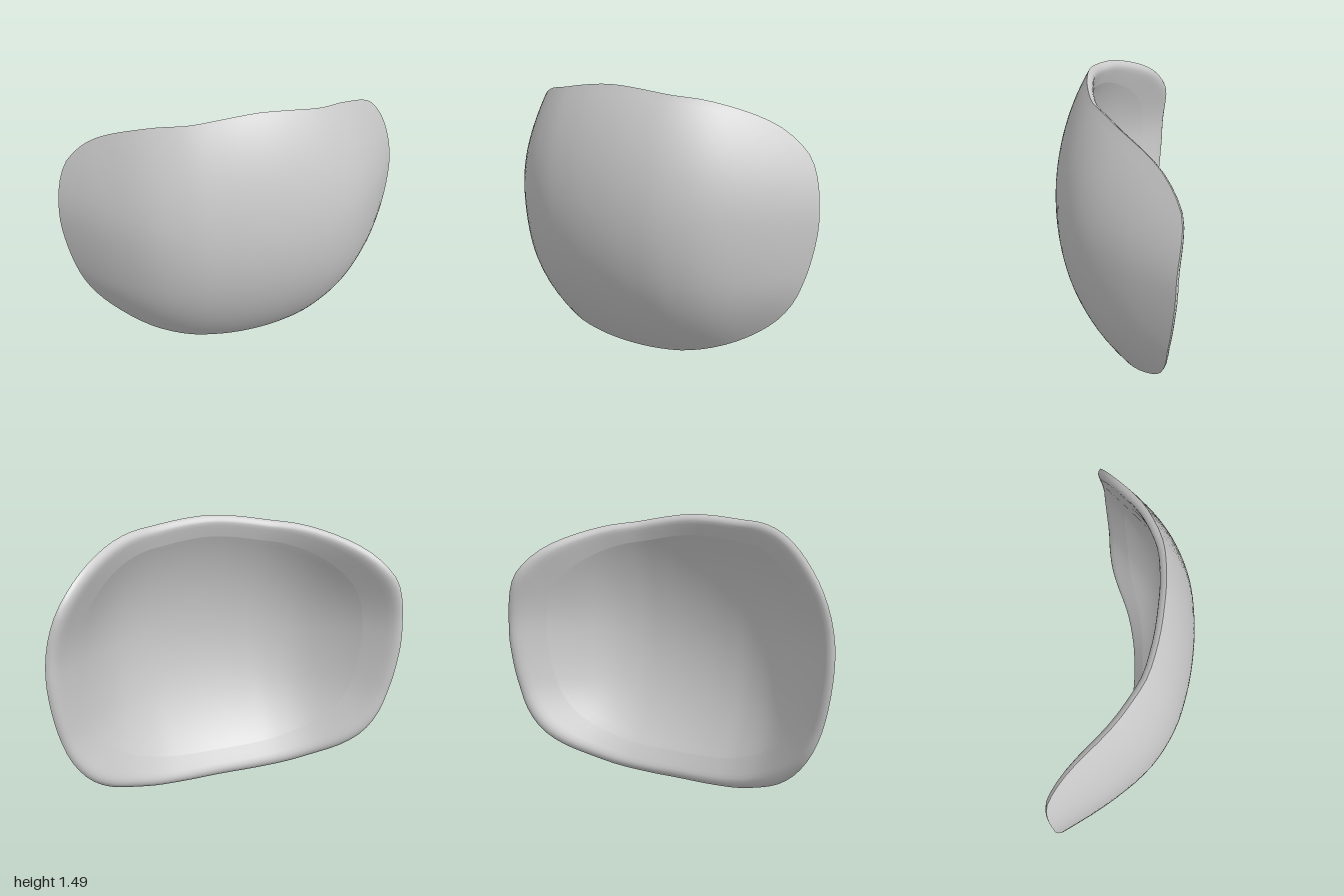
import * as THREE from 'three';

const SEGMENTS = 96;
const CENTRE_Y = 0.82;

// Bulge along the vertical centre line: two arcs meeting at the fullest point
function bulge(y) {
  const d = y - CENTRE_Y, radius = d > 0 ? 1.337 : 1.24;
  return 0.31 - radius + Math.sqrt(radius * radius - d * d);
}

// How far the sheet sweeps back sideways, sampled every 0.2 and joined smoothly
const SWEEP = [0, 0.013, 0.057, 0.16, 0.35, 0.602, 0.86];
function sweep(x) {
  const u = Math.abs(x) / 0.2, i = Math.min(Math.floor(u), 5), t = u - i;
  const at = (k) => SWEEP[Math.min(Math.abs(k), 6)];
  const p0 = at(i), p1 = at(i + 1);
  const m0 = (p1 - at(i - 1)) / 2, m1 = (at(i + 2) - p0) / 2;
  const curve = 2 * (p0 - p1) + m0 + m1;
  return ((curve * t + p1 - p0 - m0 - curve) * t + m0) * t + p0;
}

// Front surface; the sweep grows towards the top and bottom edges
function depth(x, y) {
  const high = Math.max(0, y - CENTRE_Y), low = Math.max(0, 0.5 - y);
  return bulge(y) - sweep(x) * (1 + 1.35 * high * high + 1.7 * low * low);
}

// Half outline, top to bottom, mirrored into a closed curve
const half = [[0, 1.49], [0.15, 1.48], [0.35, 1.452], [0.48, 1.435], [0.6, 1.4], [0.71, 1.35],
  [0.8, 1.29], [0.88, 1.21], [0.935, 1.13], [0.98, 1], [1, 0.82], [0.985, 0.65], [0.95, 0.49],
  [0.9, 0.36], [0.82, 0.245], [0.72, 0.16], [0.6, 0.095], [0.4, 0.03], [0.2, 0.005], [0, 0]];
const mirrored = half.slice(1, -1).reverse().map(([x, y]) => [-x, y]);
const outline = new THREE.CatmullRomCurve3(
  [...half, ...mirrored].map(([x, y]) => new THREE.Vector3(x, y, 0)), true
).getSpacedPoints(SEGMENTS).slice(0, SEGMENTS);

// A point on the curved sheet, pushed back along the surface normal
function sheetPoint(x, y, offset) {
  const e = 0.01;
  const normal = new THREE.Vector3(
    (depth(x - e, y) - depth(x + e, y)) / (2 * e),
    (depth(x, y - e) - depth(x, y + e)) / (2 * e), 1).normalize();
  return new THREE.Vector3(x, y, depth(x, y)).addScaledVector(normal, -offset);
}

// Surface through concentric rings, each given as [outline scale, offset]
function ringSurface(name, rings, material) {
  const positions = [], index = [];
  rings.forEach(([scale, offset], i) => {
    outline.forEach((p, j) => {
      const y = CENTRE_Y + (p.y - CENTRE_Y) * scale;
      positions.push(...sheetPoint(p.x * scale, y, offset).toArray());
      if (i === rings.length - 1) return;
      const a = i * SEGMENTS + j, d = i * SEGMENTS + (j + 1) % SEGMENTS;
      const b = a + SEGMENTS, c = d + SEGMENTS;
      index.push(a, c, b, a, d, c);
    });
  });
  const geometry = new THREE.BufferGeometry();
  geometry.setAttribute('position', new THREE.Float32BufferAttribute(positions, 3));
  geometry.setIndex(index);
  geometry.computeVertexNormals();
  const mesh = new THREE.Mesh(geometry, material);
  mesh.name = name;
  return mesh;
}

export function createModel() {
  const group = new THREE.Group();
  group.name = 'curvedShell';
  const material = new THREE.MeshStandardMaterial({ color: 0xcccccc });

  const steps = 20, thickness = 0.064, inset = 0.87;
  const front = [], back = [];
  for (let i = 0; i <= steps; i++) {
    const s = i / steps;
    front.push([s, 0]);
    back.unshift([s * inset, thickness]);
  }
  // Rounded edge that runs into a sloping band behind
  const rim = [[1, 0], [1, 0.012], [0.997, 0.026], [0.988, 0.038], [0.975, 0.046],
    [0.955, 0.051], [0.92, 0.057], [inset, thickness]];

  group.add(ringSurface('frontShell', front, material));
  group.add(ringSurface('rim', rim, material));
  group.add(ringSurface('innerShell', back, material));
  return group;
}
